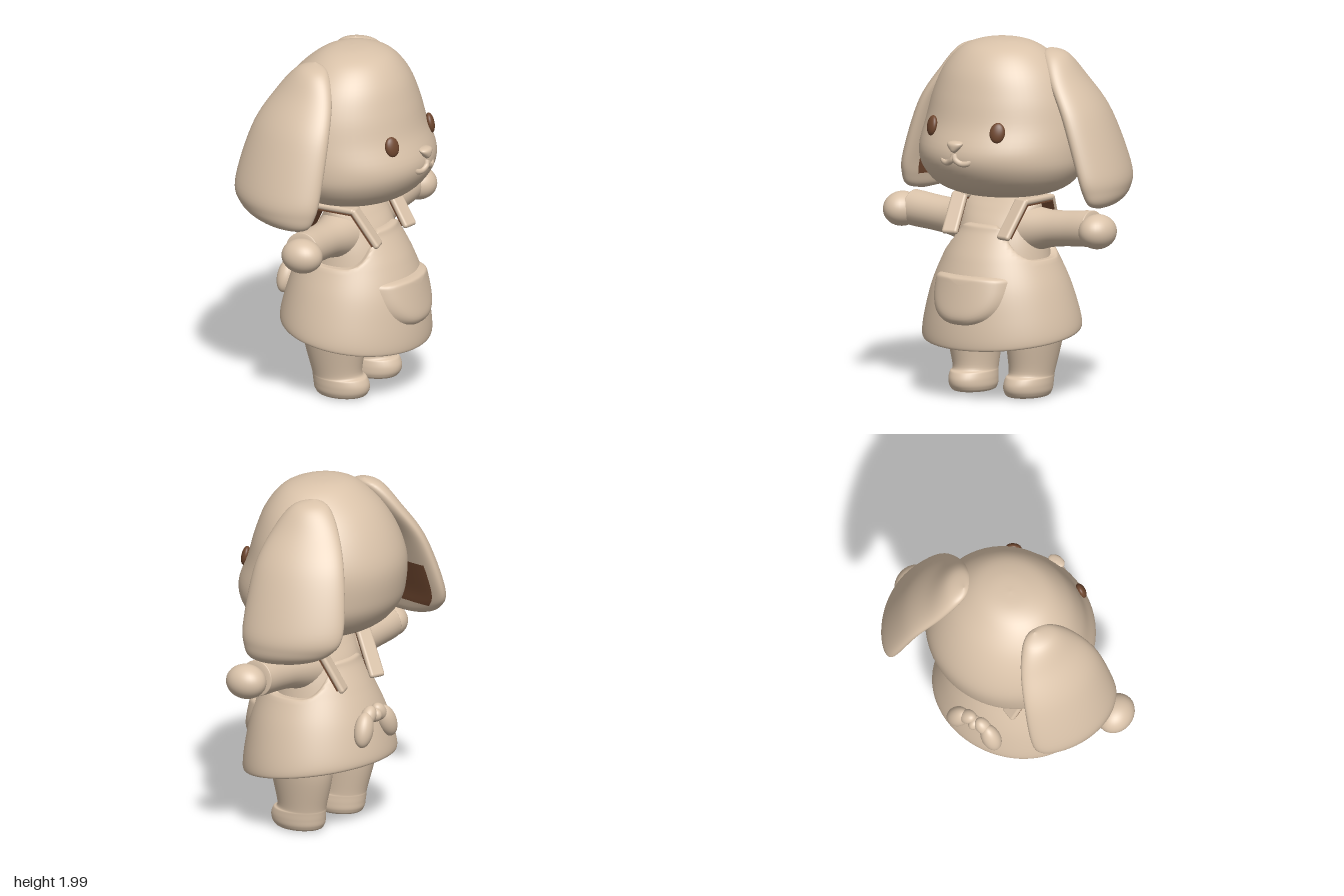
import * as THREE from 'three';
import { RoundedBoxGeometry } from 'three/addons/geometries/RoundedBoxGeometry.js';

const mat = (name, color) => {
  const m = new THREE.MeshStandardMaterial({ color });
  m.name = name;
  return m;
};

// Closed grid: t runs along, theta around; cells chosen by pick go to material 1
function grid(nt, nu, point, pick = () => false) {
  const pos = [], parts = [[], []];
  for (let i = 0; i <= nt; i++) {
    for (let j = 0; j < nu; j++) {
      const a = (j / nu) * Math.PI * 2;
      pos.push(...point(i / nt, a));
      if (i === nt) continue;
      const k = (j + 1) % nu, p = i * nu + j, q = i * nu + k;
      const am = ((j + 0.5) / nu) * Math.PI * 2;
      parts[pick((i + 0.5) / nt, am) ? 1 : 0].push(p, p + nu, q, q, p + nu, q + nu);
    }
  }
  const g = new THREE.BufferGeometry();
  g.setAttribute('position', new THREE.Float32BufferAttribute(pos, 3));
  g.setIndex([...parts[0], ...parts[1]]);
  g.addGroup(0, parts[0].length, 0);
  g.addGroup(parts[0].length, parts[1].length, 1);
  g.computeVertexNormals();
  return g;
}

// Stacked oval sections; row = [y, halfWidth, zFront, zBack, xCentre]
function loft(rows, { nt = 48, nu = 56, warp = (p) => p, pick } = {}) {
  const V = THREE.Vector2;
  const a = new THREE.SplineCurve(rows.map((r) => new V(r[0], r[1])));
  const b = new THREE.SplineCurve(rows.map((r) => new V(r[2], r[3])));
  const c = new THREE.SplineCurve(rows.map((r) => new V(r[4] ?? 0, 0)));
  return grid(nt, nu, (t, th) => {
    const s = a.getPoint(t), z = b.getPoint(t), w = Math.max(s.y, 0);
    const dz = ((z.x - z.y) / 2) * Math.sin(th);
    return warp([c.getPoint(t).x + w * Math.cos(th), s.x, (z.x + z.y) / 2 + dz], th, dz);
  }, pick);
}

export function createModel() {
  const tan = mat('warm beige', 0xdac3aa), brown = mat('dark brown', 0x704830);
  const doll = new THREE.Group();
  doll.name = 'bunnyDoll';
  const add = (name, geo, material = tan, pos = [0, 0, 0], rot = [0, 0, 0], scale = [1, 1, 1]) => {
    const m = new THREE.Mesh(geo, material);
    m.name = name;
    m.position.set(...pos);
    m.rotation.set(...rot);
    m.scale.set(...scale);
    doll.add(m);
    return m;
  };
  const ball = new THREE.SphereGeometry(1, 32, 24);

  // Head
  add('head', loft([
    [1.13, 0.001, 0.03, 0.028], [1.135, 0.22, 0.2, -0.2], [1.19, 0.38, 0.335, -0.34],
    [1.29, 0.46, 0.425, -0.43], [1.4, 0.475, 0.45, -0.465], [1.55, 0.458, 0.392, -0.472],
    [1.7, 0.418, 0.35, -0.42], [1.84, 0.345, 0.295, -0.33], [1.945, 0.24, 0.21, -0.215],
    [1.99, 0.125, 0.1, -0.12], [2.0, 0.001, -0.01, -0.012]], { nu: 64 }));

  // Heart-shaped nose
  add('nose', loft([
    [1.408, 0.001, 0.452, 0.45], [1.42, 0.018, 0.472, 0.43], [1.445, 0.042, 0.478, 0.42],
    [1.462, 0.05, 0.475, 0.41], [1.472, 0.035, 0.462, 0.41], [1.476, 0.001, 0.44, 0.438]], { nt: 24, nu: 32 }));

  for (const s of [1, -1]) {
    // Eyes and mouth
    add('eye', ball, brown, [s * 0.225, 1.53, 0.354], [-0.22, s * 0.5, 0], [0.043, 0.057, 0.024]);
    const smile = new THREE.CatmullRomCurve3([
      [0, 1.4, 0.453], [0.012, 1.372, 0.456], [0.045, 1.352, 0.446], [0.08, 1.355, 0.436], [0.105, 1.378, 0.418],
    ].map(([x, y, z]) => new THREE.Vector3(s * x, y, z)));
    add('mouth', new THREE.TubeGeometry(smile, 24, 0.017, 12));

    // Drooping ears, cupped around the head with a dark lining
    const ear = loft([
      [1.09, 0.001, -0.08, -0.082, 0.61], [1.115, 0.056, 0.03, -0.29, 0.61],
      [1.18, 0.085, 0.075, -0.43, 0.605], [1.3, 0.096, 0.098, -0.485, 0.582],
      [1.6, 0.092, 0.095, -0.425, 0.475], [1.8, 0.085, 0.05, -0.32, 0.35],
      [1.92, 0.068, -0.02, -0.22, 0.275], [1.953, 0.001, -0.12, -0.122, 0.235],
    ].map((r) => [...r.slice(0, 4), r[4] * s]), {
      warp: ([x, y, z], th, dz) => [x + s * (0.2 * dz - 0.5 * dz * dz), y, z],
      pick: (t, th) => s * Math.cos(th) < -0.6 && t > 0.29 && t < 0.51,
    });
    add('ear', ear, [tan, brown]);

    // Arms, flared at the shoulder, and hands
    const sleeve = [[0.15, 0], [0.125, 0.09], [0.104, 0.2], [0.099, 0.32], [0.101, 0.46], [0.09, 0.485], [0.001, 0.49]]
      .map(([r, y]) => new THREE.Vector2(r, y));
    const arm = new THREE.LatheGeometry(new THREE.SplineCurve(sleeve).getPoints(30), 32);
    add('arm', arm, tan, [s * 0.14, 0.945, 0], [0, 0, s * (0.09 - Math.PI / 2)]);
    add('hand', ball, tan, [s * 0.675, 0.98, 0.03], [0, 0, 0], [0.1, 0.097, 0.118]);

    // Legs with rounded feet
    add('leg', loft([
      [0.01, 0.001, 0.02, 0.018], [0.013, 0.092, 0.14, -0.105], [0.04, 0.118, 0.176, -0.136],
      [0.08, 0.123, 0.184, -0.144], [0.12, 0.121, 0.168, -0.148], [0.155, 0.119, 0.138, -0.153],
      [0.33, 0.143, 0.168, -0.195], [0.48, 0.155, 0.18, -0.2],
    ].map((r) => [...r, s * (0.185 + 0.06 * r[0])]), { nu: 40 }));

    // Shoulder straps over the body, each with a thin dark lining
    const path = [[0.185, 0.925, 0.245], [0.213, 1.115, 0.115], [0.213, 1.115, -0.115], [0.16, 0.85, -0.262]]
      .map(([x, y, z]) => new THREE.Vector3(s * x, y, z));
    for (let i = 0; i < 3; i++) {
      const len = path[i].distanceTo(path[i + 1]);
      const strap = add('strap', new RoundedBoxGeometry(0.094, 0.034, len + 0.025, 4, 0.016));
      const lining = add('strapLining', new THREE.BoxGeometry(0.08, 0.008, len - 0.02), brown);
      for (const m of [strap, lining]) {
        m.position.copy(path[i]).lerp(path[i + 1], 0.5);
        m.lookAt(path[i + 1]);
      }
      lining.translateY(-0.02);
    }

    // Tail bow loops
    add('bowLoop', ball, tan, [s * 0.11, 0.62, -0.365], [0.1, 0, s * 0.4], [0.057, 0.1, 0.052]);
    add('bowFold', ball, tan, [s * 0.05, 0.685, -0.355], [0, 0, s * 0.7], [0.042, 0.06, 0.042]);
  }
  add('bowKnot', ball, tan, [0, 0.68, -0.36], [0, 0, 0], [0.035, 0.04, 0.045]);

  // Torso
  add('torso', loft([
    [0.65, 0.3, 0.29, -0.27], [0.85, 0.275, 0.245, -0.225], [0.97, 0.252, 0.2, -0.185],
    [1.05, 0.255, 0.148, -0.14], [1.1, 0.245, 0.108, -0.105], [1.135, 0.19, 0.08, -0.08],
    [1.17, 0.1, 0.06, -0.06]]));

  // Pinafore with slanted hem and cut-away armholes
  add('dress', loft([
    [0.41, 0.004, 0.01, 0], [0.385, 0.38, 0.35, -0.33], [0.358, 0.445, 0.405, -0.385],
    [0.39, 0.46, 0.42, -0.4], [0.5, 0.438, 0.41, -0.382], [0.65, 0.39, 0.38, -0.343],
    [0.8, 0.322, 0.32, -0.285], [0.93, 0.262, 0.25, -0.215], [0.975, 0.25, 0.222, -0.19],
    [0.98, 0.15, 0.15, -0.13]], {
    nt: 72, nu: 72,
    warp: ([x, y, z], th) => {
      const top = 0.98 - 0.19 * THREE.MathUtils.smoothstep(Math.abs(Math.cos(th)), 0.4, 0.98);
      const tilt = 0.146 * z * THREE.MathUtils.clamp((0.8 - y) / 0.44, 0, 1);
      return [x, Math.min(y - tilt, top), z];
    },
  }));

  // Front pocket, curved to follow the skirt
  const power = (v, n) => Math.sign(v) * Math.pow(Math.abs(v), 2 / n);
  add('pocket', grid(16, 64, (k, a) => {
    const up = Math.sin(a) > 0, n = up ? 5 : 2.4;
    const x = k * 0.252 * power(Math.cos(a), n);
    const y = 0.66 + k * (up ? 0.052 : 0.225) * power(Math.sin(a), n);
    const zf = 0.42 - 0.19 * (y - 0.42), w = 0.46 - 0.33 * (y - 0.42);
    return [x, y, zf * Math.sqrt(1 - (x / w) ** 2) - 0.015 + 0.052 * (1 - k ** 10)];
  }));

  doll.rotation.y = Math.PI / 2;
  const model = new THREE.Group();
  model.name = 'model';
  model.add(doll);
  return model;
}
